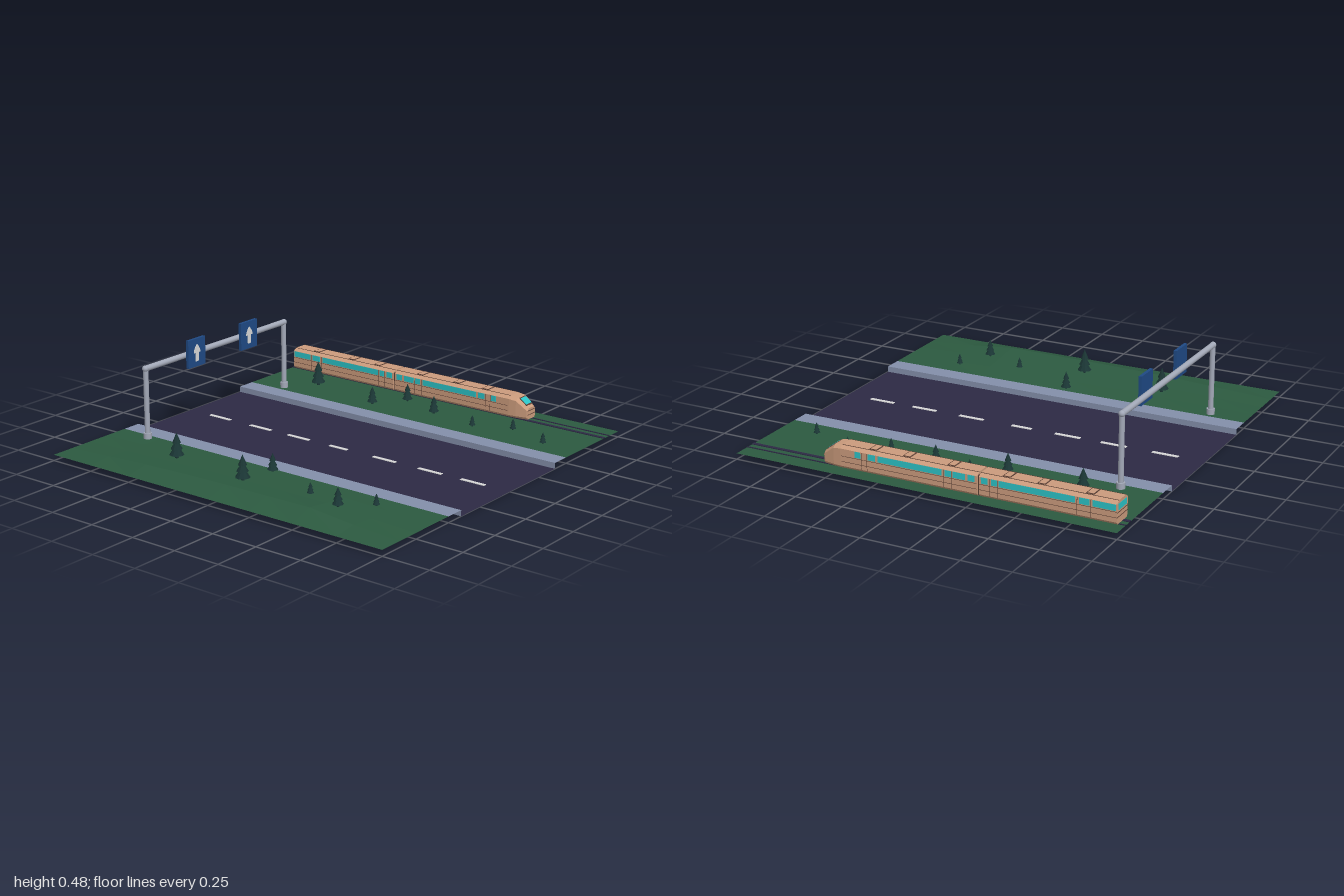
import * as THREE from 'three';

const mat = (name, color, extra = {}) => {
  const m = new THREE.MeshStandardMaterial({ color, ...extra });
  m.name = name;
  return m;
};

export function createModel() {
  const open = { side: THREE.DoubleSide };
  const M = {
    asphalt: mat('asphalt', 0x2d2a45, open),
    grass: mat('grass', 0x2c5a40, { ...open, flatShading: true }),
    kerb: mat('kerb', 0x8490ab, open),
    paint: mat('whitePaint', 0xd8d8d8),
    steel: mat('steel', 0xa3a9b8),
    sign: mat('signBlue', 0x1f4a85),
    tree: mat('pine', 0x1a3534, { flatShading: true }),
    train: mat('trainBody', 0xcc9c7d, { flatShading: true }),
    glass: mat('trainGlass', 0x2cc3c6),
    dark: mat('trainTrim', 0x5c4035),
  };
  const root = new THREE.Group();
  const add = (name, geo, material, x = 0, y = 0, z = 0, parent = root) => {
    const m = new THREE.Mesh(geo, material);
    m.name = name;
    m.position.set(x, y, z);
    parent.add(m);
    return m;
  };
  const box = (name, material, w, h, d, x, y, z, parent) =>
    add(name, new THREE.BoxGeometry(w, h, d), material, x, y, z, parent);
  const flat = (w, d, sx = 1, sz = 1) => new THREE.PlaneGeometry(w, d, sx, sz).rotateX(-Math.PI / 2);

  // Road with dashed centre line, raised pavements with a vertical kerb face
  const G = 0.03;
  add('road', flat(0.8, 2), M.asphalt);
  for (const z of [-0.793, -0.52, -0.27, -0.015, 0.27, 0.543, 0.793])
    box('laneDash', M.paint, 0.02, 0.003, z === -0.015 ? 0.11 : 0.138, 0, 0.0015, z);
  for (const s of [-1, 1]) {
    add('pavement', flat(0.1, 2), M.kerb, s * 0.45, G, 0);
    add('kerbFace', new THREE.PlaneGeometry(2, G).rotateY(-s * Math.PI / 2), M.kerb, s * 0.4, G / 2, 0);
  }

  // Grass: level beside the track, a low ridge on the other side
  add('trackGrass', flat(0.5, 2), M.grass, 0.75, G, 0);
  const across = [0, 0.04, 0.024, 0.012, 0];
  const along = [0, 0.3, 0.6, 0.8, 0.9, 0.95, 1, 0.4, 0];
  const hillGeo = flat(0.5, 2, 4, 8);
  const hp = hillGeo.attributes.position;
  const hill = (x, z) => across[Math.round((x + 1) * 8)] * along[Math.round((z + 1) * 4)];
  for (let i = 0; i < hp.count; i++) hp.setY(i, hill(hp.getX(i) - 0.75, hp.getZ(i)));
  hillGeo.computeVertexNormals();
  add('hillGrass', hillGeo, M.grass, -0.75, G, 0);

  // Pine trees: trunk and three stacked cones [x, z, radius]
  const pines = [
    [0.685, -0.685, 0.038], [0.6, -0.255, 0.027], [0.75, -0.135, 0.027], [0.665, 0.095, 0.027],
    [0.615, 0.37, 0.017], [0.695, 0.565, 0.017], [0.605, 0.8, 0.017],
    [-0.69, -0.47, 0.037], [-0.75, 0, 0.037], [-0.53, 0, 0.027],
    [-0.68, 0.35, 0.017], [-0.75, 0.565, 0.027], [-0.6, 0.67, 0.017],
  ];
  for (const [x, z, r] of pines) {
    const pine = new THREE.Group();
    pine.name = 'pineTree';
    pine.position.set(x, G + (x < 0 ? hill(x, z) * 0.9 : 0), z);
    const h = r * 3.5;
    add('trunk', new THREE.CylinderGeometry(r * 0.25, r * 0.25, h * 0.2, 6), M.tree, 0, h * 0.1, 0, pine);
    [[1, 0.13, 0.42], [0.8, 0.36, 0.38], [0.58, 0.6, 0.4]].forEach(([k, y, t]) =>
      add('foliage', new THREE.ConeGeometry(r * k, h * t, 9), M.tree, 0, h * (y + t / 2), 0, pine));
    root.add(pine);
  }

  // Sign gantry
  const gantry = new THREE.Group();
  gantry.name = 'gantry';
  gantry.position.z = -0.805;
  root.add(gantry);
  const tube = (r, l) => new THREE.CylinderGeometry(r, r, l, 16);
  add('beam', tube(0.015, 1.09).rotateZ(Math.PI / 2), M.steel, 0, 0.395, 0, gantry);
  for (const s of [-1, 1]) {
    add('post', tube(0.0135, 0.37), M.steel, s * 0.538, 0.215, 0, gantry);
    add('postBase', tube(0.021, 0.03), M.steel, s * 0.538, 0.045, 0, gantry);
    add('corner', new THREE.SphereGeometry(0.0165, 14, 10), M.steel, s * 0.54, 0.395, 0, gantry);
  }
  // Blue boards with an upward arrow
  const arrow = new THREE.Shape();
  arrow.moveTo(-0.012, -0.045).lineTo(0.012, -0.045).lineTo(0.012, 0).lineTo(0.024, 0);
  arrow.quadraticCurveTo(0.024, 0.02, 0, 0.045).quadraticCurveTo(-0.024, 0.02, -0.024, 0).lineTo(-0.012, 0);
  const arrowGeo = new THREE.ExtrudeGeometry(arrow, { depth: 0.003, bevelEnabled: false });
  for (const s of [-1, 1]) {
    box('signBoard', M.sign, 0.128, 0.146, 0.016, s * 0.204, 0.408, 0.034, gantry);
    add('signArrow', arrowGeo, M.paint, s * 0.204, 0.408, 0.042, gantry);
  }

  // Rails
  const TX = 0.885;
  box('nearRail', M.asphalt, 0.018, 0.004, 2, TX - 0.024, G + 0.002, 0);
  box('farRail', M.asphalt, 0.006, 0.004, 2, TX + 0.024, G + 0.002, 0);

  // Train, lofted from sections [z, half width, top]
  const train = new THREE.Group();
  train.name = 'train';
  train.position.x = TX;
  root.add(train);
  const loft = (sections) => {
    const rings = sections.map(([z, w, top]) => {
      const sh = top - 0.014;
      const right = [[w * 0.85, 0.039], [w, 0.05], [w, sh], [w * 0.62, top]];
      return [...right, ...right.slice().reverse().map(([x, y]) => [-x, y])].map(([x, y]) => [x, y, z]);
    });
    const n = rings[0].length, v = [];
    for (let k = 0; k < rings.length - 1; k++)
      for (let i = 0; i < n; i++) {
        const j = (i + 1) % n, a = rings[k][i], b = rings[k][j], c = rings[k + 1][j], d = rings[k + 1][i];
        v.push(...a, ...b, ...d, ...b, ...c, ...d);
      }
    const first = rings[0], last = rings[rings.length - 1];
    for (let i = 1; i < n - 1; i++)
      v.push(...last[0], ...last[i], ...last[i + 1], ...first[0], ...first[i + 1], ...first[i]);
    const g = new THREE.BufferGeometry();
    g.setAttribute('position', new THREE.Float32BufferAttribute(v, 3));
    g.computeVertexNormals();
    return g;
  };
  const W = 0.056, TOP = 0.15;
  add('frontCar', loft([[-0.277, W, TOP], [0.45, W, TOP], [0.49, 0.052, 0.145], [0.545, 0.04, 0.104], [0.552, 0.037, 0.098]]), M.train, 0, 0, 0, train);
  add('rearCar', loft([[-0.972, W, TOP], [-0.287, W, TOP]]), M.train, 0, 0, 0, train);
  box('coupling', M.dark, 0.095, 0.095, 0.014, 0, 0.09, -0.282, train);

  // Side windows [z from, z to], trim lines and door seams
  const windows = [
    [0.34, 0.37], [0.26, 0.3], [-0.094, 0.246], [-0.142, -0.11], [-0.216, -0.152], [-0.265, -0.229],
    [-0.33, -0.297], [-0.378, -0.35], [-0.767, -0.388], [-0.838, -0.789], [-0.966, -0.853],
  ];
  for (const s of [-1, 1]) {
    for (const [a, b] of windows)
      box('sideWindow', M.glass, 0.003, 0.03, b - a, s * W, 0.12, (a + b) / 2, train);
    for (const y of [0.1, 0.073]) {
      box('frontCarTrim', M.dark, 0.002, 0.002, 0.72, s * W, y, 0.085, train);
      box('rearCarTrim', M.dark, 0.002, 0.002, 0.685, s * W, y, -0.629, train);
    }
    box('frontRoofLine', M.dark, 0.002, 0.002, 0.727, s * 0.036, TOP, 0.086, train);
    box('rearRoofLine', M.dark, 0.002, 0.002, 0.685, s * 0.036, TOP, -0.629, train);
    for (const z of [0.305, 0.335, -0.102, -0.147, -0.343, -0.383, -0.778, -0.846])
      box('doorSeam', M.dark, 0.002, 0.085, 0.002, s * W, 0.093, z, train);
    // Wheels
    for (const z of [0.42, 0.32, -0.12, -0.21, -0.36, -0.45, -0.82, -0.91])
      add('wheel', tube(0.009, 0.012).rotateZ(Math.PI / 2), M.dark, s * 0.026, 0.04, z, train);
  }

  // Roof hatches
  for (const z of [-0.83, -0.59, -0.415, -0.13, 0.105, 0.285]) {
    box('hatchFrame', M.dark, 0.062, 0.003, 0.04, 0, TOP + 0.001, z, train);
    box('hatchLid', M.train, 0.052, 0.005, 0.03, 0, TOP + 0.001, z, train);
  }

  // Windscreen on the sloping nose, front and rear end details
  const slope = Math.atan2(0.041, 0.055);
  box('windscreenFrame', M.dark, 0.054, 0.004, 0.056, 0, 0.126, 0.517, train).rotation.x = slope;
  box('windscreen', M.glass, 0.05, 0.006, 0.044, 0, 0.1265, 0.517, train).rotation.x = slope;
  box('rearWindow', M.glass, 0.085, 0.03, 0.003, 0, 0.12, -0.972, train);
  for (const y of [0.085, 0.063]) {
    box('noseTrim', M.dark, 0.073, 0.003, 0.003, 0, y, 0.552, train);
    box('rearTrim', M.dark, 0.11, 0.003, 0.003, 0, y + 0.01, -0.972, train);
  }
  return root;
}
